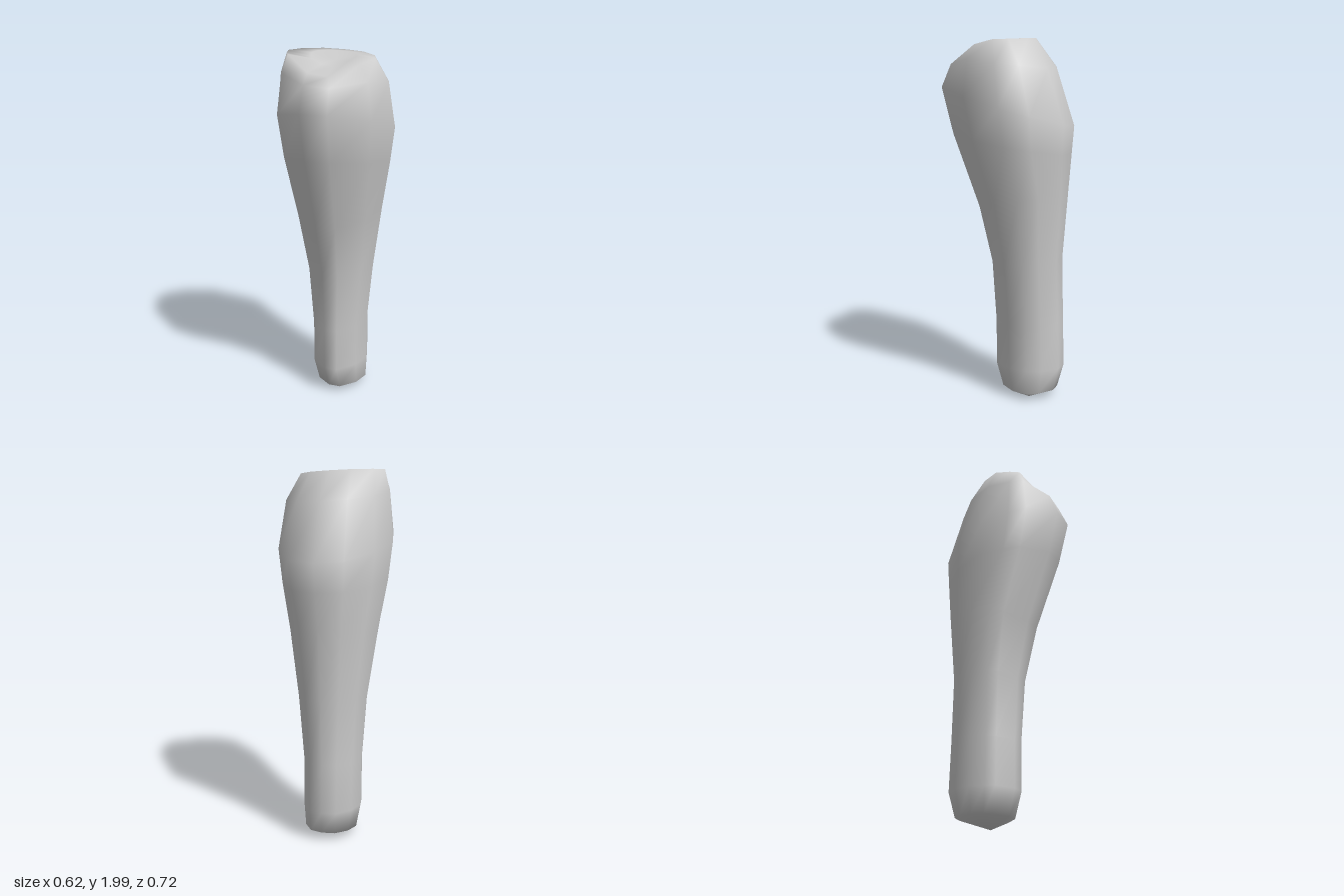
import * as THREE from 'three';

// Cross-section outline, counter-clockwise from the front (x, z)
const OUTLINE = [
  [0.065, 0.36], [0.24, 0.19], [0.31, -0.01], [0.275, -0.165], [0.165, -0.325], [0.02, -0.36],
  [-0.13, -0.33], [-0.255, -0.19], [-0.31, -0.015], [-0.28, 0.135], [-0.245, 0.23], [-0.08, 0.355],
];

// Rings from foot to head: y at front, y at back, min x, max x, min z, max z, groove depth
const RINGS = [
  [0.035, 0.05, -0.15, 0.14, -0.28, 0.03, 0],
  [0.17, 0.18, -0.175, 0.145, -0.315, 0.07, 0],
  [0.42, 0.45, -0.175, 0.145, -0.308, 0.07, 0],
  [0.77, 0.8, -0.2, 0.18, -0.3, 0.09, 0],
  [1.08, 1.2, -0.25, 0.23, -0.33, 0.16, 0],
  [1.48, 1.38, -0.292, 0.285, -0.345, 0.3, 0],
  [1.73, 1.53, -0.31, 0.31, -0.357, 0.36, 0],
  [1.9, 1.83, -0.285, 0.28, -0.26, 0.31, 0.05],
  [1.975, 1.985, -0.25, 0.215, -0.14, 0.24, 0.08],
  [1.975, 1.985, -0.13, 0.11, -0.08, 0.13, 0.06],
];
const FOOT_TIP = [0.07, 0, -0.13];
const HEAD_TIP = [0, 1.95, 0.03];

function ringPoints([yFront, yBack, x0, x1, z0, z1, groove]) {
  return OUTLINE.map(([ox, oz]) => {
    const u = (ox + 0.31) / 0.62, v = (oz + 0.36) / 0.72;
    const x = x0 + u * (x1 - x0), z = z0 + v * (z1 - z0);
    let y = yBack + v * (yFront - yBack);
    // Groove between the two lobes of the head, and a slight sideways tilt
    if (groove) {
      y -= groove * Math.max(0, 1 - (x / 0.2) ** 2) * THREE.MathUtils.clamp(z / 0.2, 0, 1);
      y -= 0.05 * x;
    }
    return [x, Math.min(y, 2), z];
  });
}

function loftGeometry() {
  const n = OUTLINE.length;
  const points = RINGS.flatMap(ringPoints);
  const foot = points.push(FOOT_TIP) - 1;
  const head = points.push(HEAD_TIP) - 1;
  const index = [];
  const last = (RINGS.length - 1) * n;
  for (let i = 0; i < n; i++) {
    const j = (i + 1) % n;
    for (let r = 0; r < last; r += n) {
      index.push(r + i, r + j, r + n + j, r + i, r + n + j, r + n + i);
    }
    index.push(foot, j, i, head, last + i, last + j);
  }
  const geometry = new THREE.BufferGeometry();
  geometry.setAttribute('position', new THREE.Float32BufferAttribute(points.flat(), 3));
  geometry.setIndex(index);
  geometry.computeVertexNormals();
  return geometry;
}

export function createModel() {
  const group = new THREE.Group();
  group.name = 'boneSegment';
  // Single smooth body: slim shaft swelling into a grooved head
  const body = new THREE.Mesh(loftGeometry(), new THREE.MeshStandardMaterial({ color: 0xcccccc }));
  body.name = 'shaftAndHead';
  group.add(body);
  return group;
}
